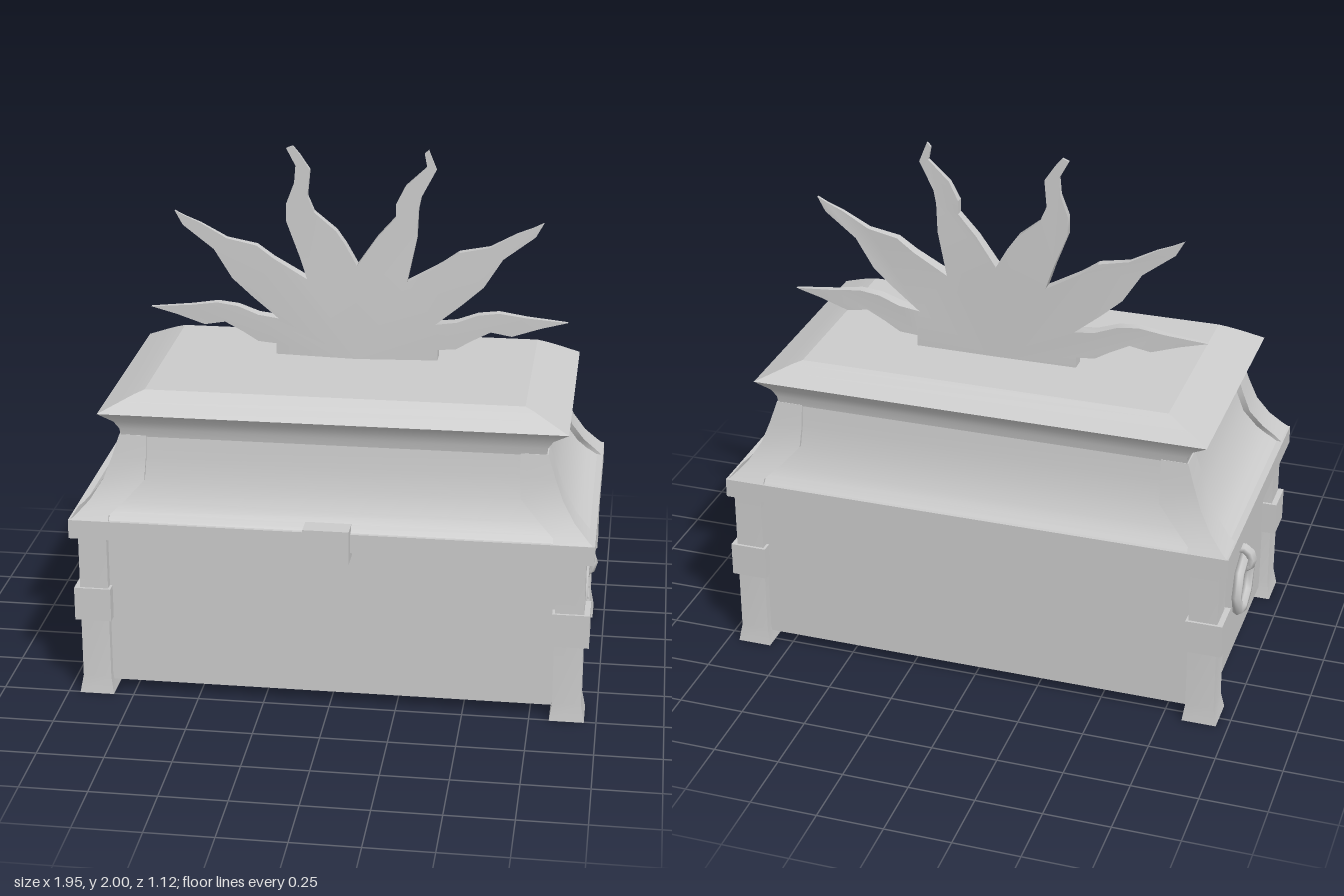
import * as THREE from 'three';
import { mergeGeometries, toCreasedNormals } from 'three/addons/utils/BufferGeometryUtils.js';

const material = new THREE.MeshStandardMaterial({ color: 0xcccccc });

function add(parent, name, geometry, x = 0, y = 0, z = 0) {
  const mesh = new THREE.Mesh(geometry, material);
  mesh.name = name;
  mesh.position.set(x, y, z);
  parent.add(mesh);
  return mesh;
}

// Quads given as corner lists, smoothed below the crease angle
function quads(list, crease) {
  const pos = list.flatMap(([a, b, c, d]) => [...a, ...b, ...c, ...a, ...c, ...d]);
  const geo = new THREE.BufferGeometry();
  geo.setAttribute('position', new THREE.Float32BufferAttribute(pos, 3));
  return toCreasedNormals(geo, crease);
}

// Solid through rectangular sections [y, x0, x1, z0, z1], listed bottom to top
function loft(sections) {
  const rings = sections.map(([y, x0, x1, z0, z1]) => [[x0, y, z1], [x1, y, z1], [x1, y, z0], [x0, y, z0]]);
  const walls = [];
  for (let i = 0; i < rings.length - 1; i++) {
    const lo = rings[i], hi = rings[i + 1];
    for (let k = 0; k < 4; k++) {
      const n = (k + 1) % 4;
      walls.push([lo[k], lo[n], hi[n], hi[k]]);
    }
  }
  const caps = [[...rings[0]].reverse(), rings[rings.length - 1]];
  return mergeGeometries([quads(walls, 0.65), quads(caps, 0.1)]);
}

// Centred sections [y, halfX, halfZ]
const block = (rows) => loft(rows.map(([y, x, z]) => [y, -x, x, -z, z]));

// Corner sections [y, innerX, outerX, innerZ, outerZ], placed in one quadrant
const corner = (rows, sx, sz) => loft(rows.map(([y, xi, xo, zi, zo]) => [
  y, Math.min(sx * xi, sx * xo), Math.max(sx * xi, sx * xo),
  Math.min(sz * zi, sz * zo), Math.max(sz * zi, sz * zo)]));

function eachCorner(fn) {
  for (const sx of [-1, 1]) for (const sz of [-1, 1]) fn(sx, sz);
}

function buildBase() {
  const base = new THREE.Group();
  base.name = 'base';
  base.position.z = -0.025;
  add(base, 'boxBody', block([[0.045, 0.908, 0.488], [0.66, 0.908, 0.488]]));
  const leg = [[0, 0.825, 0.955, 0.392, 0.53], [0.07, 0.835, 0.942, 0.405, 0.521], [0.65, 0.835, 0.942, 0.405, 0.521]];
  const band = [[0.305, 0.825, 0.963, 0.395, 0.531], [0.435, 0.825, 0.963, 0.395, 0.531]];
  eachCorner((sx, sz) => {
    add(base, 'leg', corner(leg, sx, sz));
    add(base, 'legBand', corner(band, sx, sz));
  });

  // Hanging ring and its eye on each end
  for (const s of [-1, 1]) {
    const ring = add(base, 'handleRing', new THREE.TorusGeometry(0.112, 0.021, 6, 8), s * 0.925, 0.31, -0.003);
    ring.rotation.y = Math.PI / 2;
    const eye = add(base, 'handleEye', new THREE.TorusGeometry(0.041, 0.022, 6, 10), s * 0.912, 0.418, -0.003);
    eye.scale.y = 1.05;
  }
  return base;
}

function buildLid() {
  const lid = new THREE.Group();
  lid.name = 'lid';
  lid.position.z = -0.016;
  add(lid, 'lidRim', block([[0.642, 0.972, 0.535], [0.715, 0.972, 0.535]]));

  // Concave sides, with proud straps at the corners
  add(lid, 'lidSides', block([
    [0.71, 0.955, 0.525], [0.74, 0.908, 0.5], [0.78, 0.87, 0.476],
    [0.86, 0.823, 0.448], [0.94, 0.793, 0.433], [1.025, 0.772, 0.424]]));
  const strap = [
    [0.71, 0.82, 0.97, 0.398, 0.535], [0.735, 0.82, 0.942, 0.398, 0.52], [0.785, 0.765, 0.895, 0.372, 0.492],
    [0.86, 0.695, 0.848, 0.335, 0.462], [0.94, 0.69, 0.818, 0.332, 0.446], [1.025, 0.69, 0.79, 0.332, 0.434]];
  eachCorner((sx, sz) => add(lid, 'cornerStrap', corner(strap, sx, sz)));

  // Flared cornice under a flat top
  add(lid, 'cornice', block([
    [1.02, 0.785, 0.431], [1.05, 0.788, 0.437], [1.08, 0.807, 0.448], [1.115, 0.863, 0.472],
    [1.152, 0.785, 0.431], [1.175, 0.735, 0.402], [1.188, 0.7, 0.384]]));
  return lid;
}

function buildClasp() {
  const shape = new THREE.Shape([
    [-0.085, 0.742], [-0.085, 0.612], [-0.045, 0.573], [0.045, 0.573], [0.085, 0.612], [0.085, 0.742],
  ].map((p) => new THREE.Vector2(...p)));
  return new THREE.ExtrudeGeometry(shape, { depth: 0.1, bevelEnabled: false });
}

// Wavy sun rays fanned around a hub, thick at the hub and thin at the tips
function buildSunburst() {
  const hub = [0, 1.18];
  const lowRay = [
    [0.3, 1.33], [0.38, 1.34], [0.46, 1.37], [0.54, 1.38], [0.64, 1.365], [0.8, 1.35], [0.7, 1.325],
    [0.59, 1.29], [0.51, 1.305], [0.44, 1.27], [0.38, 1.235], [0.31, 1.23], [0.31, 1.18]];
  const midRay = [
    [0.19, 1.49], [0.32, 1.565], [0.385, 1.612], [0.5, 1.635], [0.6, 1.69], [0.66, 1.715], [0.7, 1.735],
    [0.67, 1.68], [0.55, 1.59], [0.48, 1.48], [0.4, 1.41], [0.3, 1.33]];
  const leftTallRay = [
    [-0.19, 1.49], [-0.22, 1.58], [-0.27, 1.71], [-0.27, 1.78], [-0.24, 1.86], [-0.235, 1.925], [-0.27, 1.99],
    [-0.245, 2], [-0.22, 1.97], [-0.18, 1.91], [-0.19, 1.81], [-0.165, 1.75], [-0.08, 1.68], [-0.045, 1.63], [0, 1.55]];
  const rightTallRay = [
    [0, 1.55], [0.075, 1.66], [0.145, 1.74], [0.145, 1.79], [0.18, 1.86], [0.26, 1.935], [0.25, 1.985],
    [0.265, 2], [0.295, 1.925], [0.24, 1.82], [0.23, 1.77], [0.225, 1.66], [0.19, 1.49]];
  const mirror = (ray) => ray.map(([x, y]) => [-x, y]);
  const shapes = [lowRay, midRay, rightTallRay, leftTallRay, mirror(midRay), mirror(lowRay)]
    .map((ray) => new THREE.Shape([hub, ...ray].map((p) => new THREE.Vector2(...p))));
  const geo = new THREE.ExtrudeGeometry(shapes, { depth: 1, bevelEnabled: false });
  const p = geo.attributes.position;
  for (let i = 0; i < p.count; i++) {
    const r = Math.min(1, Math.hypot(p.getX(i), p.getY(i) - hub[1]) / 0.85);
    p.setZ(i, p.getZ(i) > 0.5 ? -0.075 - 0.05 * Math.pow(r, 0.8) : -0.155 + 0.02 * r * r);
  }
  return toCreasedNormals(geo, 0.4);
}

export function createModel() {
  const model = new THREE.Group();
  model.name = 'chest';
  model.add(buildBase(), buildLid());
  add(model, 'clasp', buildClasp(), -0.003, 0, 0.462);
  add(model, 'sunburst', buildSunburst(), 0.026, 0, 0);
  return model;
}
